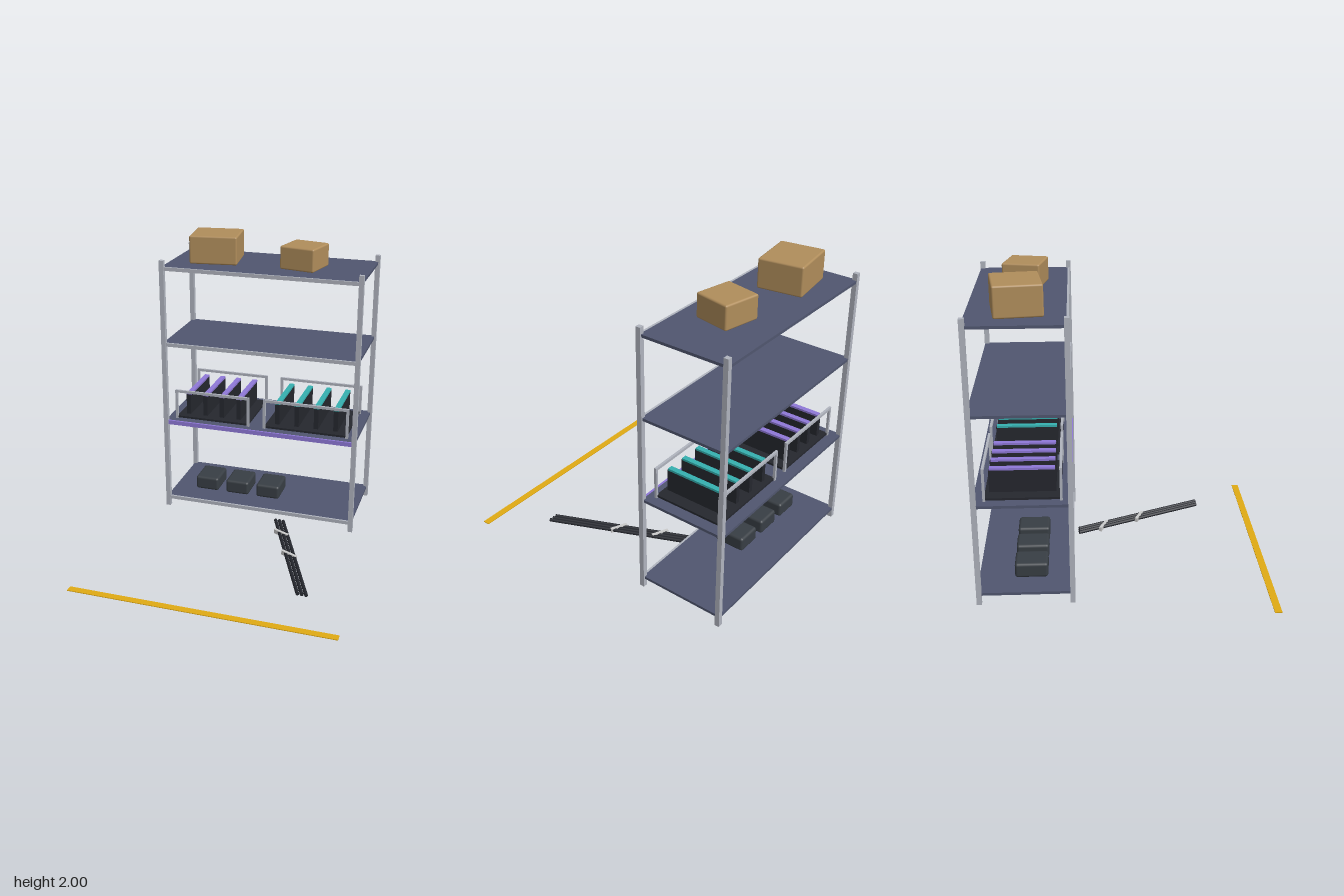
import * as THREE from 'three';
import { RoundedBoxGeometry } from 'three/addons/geometries/RoundedBoxGeometry.js';

const paint = (color) => new THREE.MeshStandardMaterial({ color });

export function createModel() {
  const root = new THREE.Group();
  root.name = 'storageRackScene';
  const steel = paint(0xb0b4be), deckMat = paint(0x50566f), black = paint(0x25272e);
  const purple = paint(0x8f78d8), teal = paint(0x35b0b0), card = paint(0xb08d5b);
  const charcoal = paint(0x383e44), yellow = paint(0xe0aa14), strapMat = paint(0xcccccc);

  const add = (parent, name, geometry, material, x, y, z, ry = 0) => {
    const mesh = new THREE.Mesh(geometry, material);
    mesh.name = name;
    mesh.position.set(x, y, z);
    mesh.rotation.y = ry;
    parent.add(mesh);
    return mesh;
  };
  const box = (parent, name, material, w, h, d, x, y, z, ry) =>
    add(parent, name, new THREE.BoxGeometry(w, h, d), material, x, y, z, ry);
  const rounded = (parent, name, material, w, h, d, r, x, y, z, ry) =>
    add(parent, name, new RoundedBoxGeometry(w, h, d, 2, r), material, x, y, z, ry);
  const group = (name) => {
    const g = new THREE.Group();
    g.name = name;
    root.add(g);
    return g;
  };

  // Shelving unit: four posts, four decks, a lip along each front edge
  const unit = group('shelvingUnit');
  for (const x of [-0.685, 0.685])
    for (const z of [-0.342, -0.927])
      box(unit, 'post', steel, 0.032, 1.85, 0.032, x, 0.925, z);
  [0.078, 0.684, 1.267, 1.806].forEach((top, i) => {
    box(unit, 'shelfDeck', deckMat, 1.38, 0.018, 0.594, 0, top - 0.01, -0.642);
    box(unit, 'shelfLip', i === 1 ? purple : steel, 1.34, i === 1 ? 0.03 : 0.025, 0.014,
      0, top - (i === 1 ? 0.015 : 0.0125), -0.339);
  });

  // Cardboard boxes on the top shelf
  rounded(root, 'cardboardBox', card, 0.33, 0.194, 0.295, 0.012, -0.39, 1.903, -0.64, 0.133);
  rounded(root, 'cardboardBox', card, 0.25, 0.157, 0.245, 0.012, 0.24, 1.8845, -0.612, -0.21);

  // Dark cases on the bottom shelf
  for (const x of [-0.44, -0.206, 0.028])
    rounded(root, 'smallCase', charcoal, 0.175, 0.1, 0.212, 0.018, x, 0.129, -0.605);

  // Panel racks: base tray, front and rear hoops, upright capped panels
  const panelRack = (x0, x1, panels, capMat) => {
    const rack = group('panelRack');
    const mid = (x0 + x1) / 2, w = x1 - x0;
    box(rack, 'tray', black, w - 0.02, 0.014, 0.47, mid, 0.694, -0.634);
    for (const z of [-0.4, -0.868]) {
      for (const x of [x0 + 0.009, x1 - 0.009])
        box(rack, 'hoopUpright', steel, 0.018, 0.2, 0.016, x, 0.783, z);
      box(rack, 'hoopBar', steel, w, 0.018, 0.016, mid, 0.891, z);
    }
    for (const x of panels) {
      box(rack, 'panel', black, 0.032, 0.148, 0.41, x, 0.786, -0.635);
      box(rack, 'panelCap', capMat, 0.036, 0.014, 0.4, x, 0.865, -0.635);
    }
  };
  panelRack(-0.633, -0.08, [-0.545, -0.419, -0.295, -0.17], purple);
  panelRack(0.02, 0.63, [0.116, 0.256, 0.395, 0.534], teal);

  // Bundle of poles lying on the floor, held by two straps
  const bundle = group('poleBundle');
  const turn = 0.416;
  for (const dx of [-0.028, 0, 0.028]) {
    const pole = new THREE.CylinderGeometry(0.012, 0.012, 0.955, 12).rotateX(Math.PI / 2);
    add(bundle, 'pole', pole, black, 0.371 + dx, 0.022, 0.138, turn);
  }
  box(bundle, 'strap', strapMat, 0.12, 0.03, 0.02, 0.24, 0.022, -0.125, -0.43);
  box(bundle, 'strap', strapMat, 0.12, 0.03, 0.02, 0.366, 0.022, 0.138, -0.43);

  // Marking line on the floor in front
  box(root, 'floorLine', yellow, 1.75, 0.005, 0.046, 0, 0.0025, 0.922);

  return root;
}
